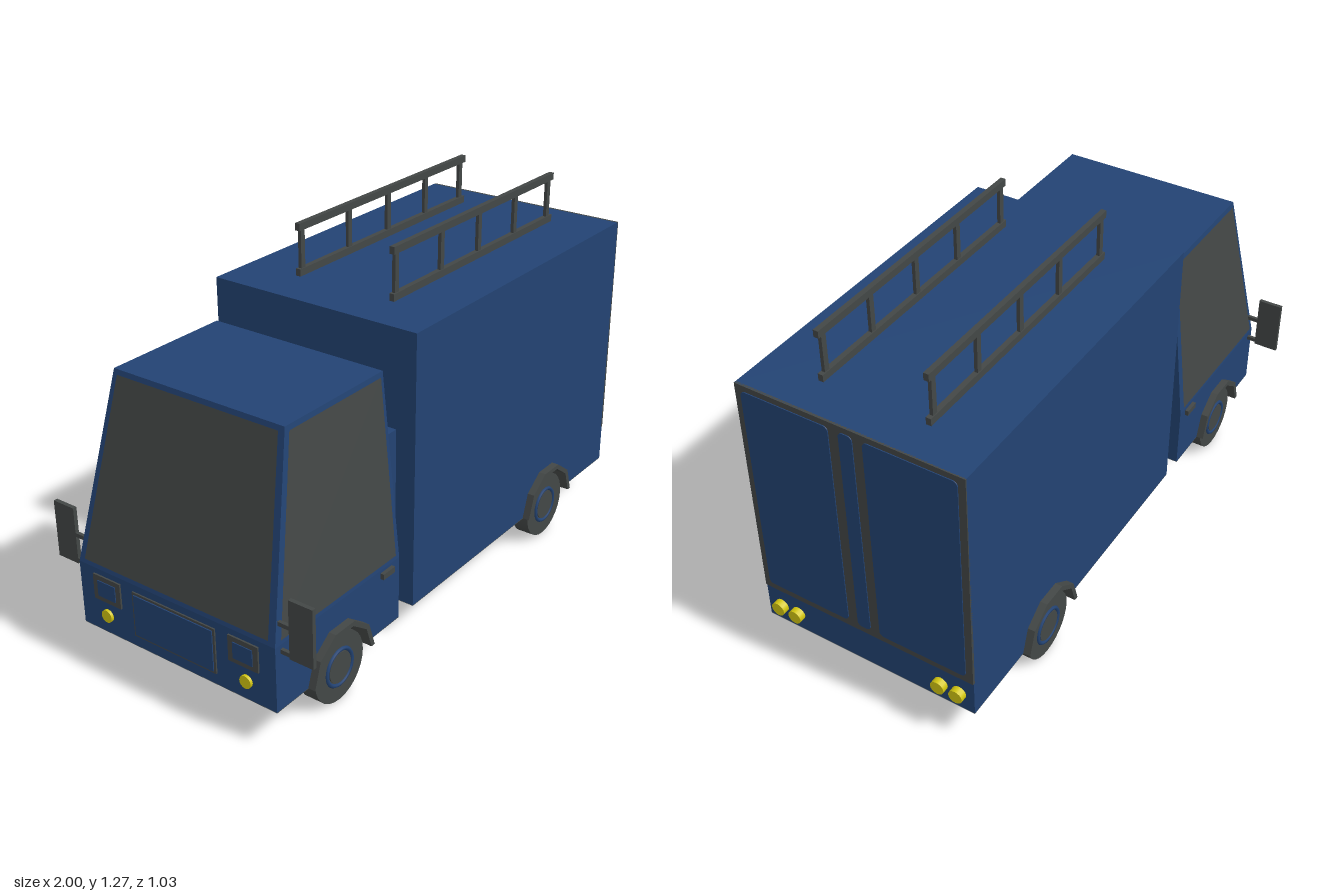
import * as THREE from 'three';

const blue = new THREE.MeshStandardMaterial({ color: 0x234373 });
blue.name = 'bodyBlue';
const grey = new THREE.MeshStandardMaterial({ color: 0x434746, side: THREE.DoubleSide });
grey.name = 'darkGrey';
const yellow = new THREE.MeshStandardMaterial({ color: 0xd2c510 });
yellow.name = 'lampYellow';

const HALF = 0.397, FLOOR = 0.13, BELT = 0.355;

export function createModel() {
  const root = new THREE.Group();
  root.name = 'van';
  root.position.z = 0.005;

  const add = (name, geo, mat) => {
    const m = new THREE.Mesh(geo, mat);
    m.name = name;
    root.add(m);
    return m;
  };
  // box given by its extents
  const box = (name, mat, x0, x1, y0, y1, z0, z1) =>
    add(name, new THREE.BoxGeometry(x1 - x0, y1 - y0, z1 - z0), mat)
      .position.set((x0 + x1) / 2, (y0 + y1) / 2, (z0 + z1) / 2);
  // five-sided half arch, from left to right
  const arch = (cx, r) => Array.from({ length: 6 }, (_, i) => {
    const a = Math.PI * (1 - i / 5);
    return new THREE.Vector2(cx + r * Math.cos(a), FLOOR + r * Math.sin(a));
  });

  // body block with a wheel tunnel, and a grey lining along its underside
  const body = (name, x0, x1, top, wheelX) => {
    const under = [new THREE.Vector2(x0, FLOOR), ...arch(wheelX, 0.135), new THREE.Vector2(x1, FLOOR)];
    const shape = new THREE.Shape([...under, new THREE.Vector2(x1, top), new THREE.Vector2(x0, top)]);
    const geo = new THREE.ExtrudeGeometry(shape, { depth: 2 * HALF, bevelEnabled: false });
    add(name, geo.translate(0, 0, -HALF), blue);
    const pos = [];
    for (let i = 0; i < under.length - 1; i++) {
      const a = under[i], b = under[i + 1], ya = a.y - 0.002, yb = b.y - 0.002;
      pos.push(a.x, ya, -HALF, b.x, yb, -HALF, b.x, yb, HALF, a.x, ya, -HALF, b.x, yb, HALF, a.x, ya, HALF);
    }
    const lining = new THREE.BufferGeometry();
    lining.setAttribute('position', new THREE.Float32BufferAttribute(pos, 3));
    lining.computeVertexNormals();
    add(name + 'Underside', lining, grey);
  };
  body('cargoBox', -0.3, 0.975, 1.09, 0.545);
  body('cabLower', -0.99, -0.38, BELT, -0.695);
  box('connector', blue, -0.385, -0.295, 0.17, 0.75, -0.325, 0.325);

  // tapered upper cab
  const upper = new THREE.BoxGeometry(1, 1, 1);
  const p = upper.attributes.position;
  for (let i = 0; i < p.count; i++) {
    const high = p.getY(i) > 0;
    p.setXYZ(i, p.getX(i) > 0 ? -0.38 : high ? -0.84 : -0.99, high ? 0.98 : BELT,
      Math.sign(p.getZ(i)) * (high ? 0.33 : HALF));
  }
  upper.computeVertexNormals();
  add('cabUpper', upper, blue);

  // flat pane inset in a four-cornered face (corners anticlockwise from outside)
  const pane = (name, corners, u, v) => {
    const [a, b, c, d] = corners.map(k => new THREE.Vector3(...k));
    const n = b.clone().sub(a).cross(d.clone().sub(a)).setLength(0.004);
    const at = (s, t) => a.clone().lerp(b, s).lerp(d.clone().lerp(c, s), t).add(n);
    const q = [at(u, v), at(1 - u, v), at(1 - u, 1 - v), at(u, 1 - v)];
    const geo = new THREE.BufferGeometry().setFromPoints(q);
    geo.setIndex([0, 1, 2, 0, 2, 3]);
    geo.computeVertexNormals();
    add(name, geo, grey);
  };
  pane('windshield', [[-0.99, BELT, -HALF], [-0.99, BELT, HALF], [-0.84, 0.98, 0.33], [-0.84, 0.98, -0.33]], 0.03, 0.025);
  for (const s of [1, -1]) {
    const side = [[-0.99, BELT, s * HALF], [-0.38, BELT, s * HALF], [-0.38, 0.98, s * 0.33], [-0.84, 0.98, s * 0.33]];
    pane('sideWindow', s > 0 ? side : side.reverse(), 0.035, 0.025);
  }

  // lamp facing along x
  const lamp = (name, x, y, z, r, depth) => {
    const m = add(name, new THREE.CylinderGeometry(r, r, depth, 16), yellow);
    m.rotation.z = Math.PI / 2;
    m.position.set(x, y, z);
  };

  // wheels and wheel arches
  for (const x of [-0.695, 0.545]) for (const s of [1, -1]) {
    const wheel = new THREE.Group();
    wheel.name = 'wheel';
    const part = (name, geo, mat, z) => {
      const m = new THREE.Mesh(geo, mat);
      m.name = name;
      m.position.z = z;
      wheel.add(m);
    };
    part('tire', new THREE.CylinderGeometry(0.12, 0.12, 0.062, 28).rotateX(Math.PI / 2), grey, 0);
    part('rimRing', new THREE.TorusGeometry(0.062, 0.007, 6, 28), blue, 0.031);
    part('hub', new THREE.CylinderGeometry(0.053, 0.053, 0.006, 24).rotateX(Math.PI / 2), grey, 0.032);
    wheel.position.set(x, 0.12, s * 0.368);
    if (s < 0) wheel.rotation.y = Math.PI;
    root.add(wheel);

    const ring = new THREE.Shape([...arch(x, 0.15), ...arch(x, 0.133).reverse()]);
    const fender = new THREE.ExtrudeGeometry(ring, { depth: 0.035, bevelEnabled: false });
    add('wheelArch', fender, grey).position.z = s > 0 ? 0.388 : -0.423;
  }

  // paired parts on both sides
  for (const s of [1, -1]) {
    const pair = (name, mat, x0, x1, y0, y1, z0, z1) =>
      box(name, mat, x0, x1, y0, y1, Math.min(s * z0, s * z1), Math.max(s * z0, s * z1));

    pair('doorHandle', grey, -0.48, -0.42, 0.325, 0.345, 0.39, 0.41);

    // mirror on two arms
    pair('mirror', grey, -0.967, -0.953, 0.32, 0.52, 0.43, 0.517);
    for (const y of [0.333, 0.425]) pair('mirrorArm', grey, -0.967, -0.955, y - 0.007, y + 0.007, 0.37, 0.435);

    // roof rail
    pair('lowerRail', grey, -0.135, 0.845, 1.09, 1.115, 0.178, 0.196);
    pair('upperRail', grey, -0.135, 0.845, 1.245, 1.27, 0.178, 0.196);
    for (const x of [-0.115, 0.14, 0.365, 0.595, 0.82])
      pair('railPost', grey, x - 0.01, x + 0.01, 1.11, 1.25, 0.181, 0.193);

    // front lamp frame with inner panel and round lamp below
    pair('lampFrame', grey, -0.996, -0.985, 0.245, 0.335, 0.22, 0.335);
    pair('lampPanel', blue, -0.999, -0.99, 0.262, 0.318, 0.24, 0.315);
    lamp('frontLamp', -0.993, 0.195, s * 0.285, 0.022, 0.014);

    // rear lamps
    for (const z of [0.275, 0.342]) lamp('rearLamp', 0.984, 0.195, s * z, 0.025, 0.03);
  }

  // front grille
  box('grilleFrame', grey, -0.995, -0.985, 0.17, 0.33, -0.168, 0.168);
  box('grillePanel', blue, -0.999, -0.99, 0.178, 0.322, -0.16, 0.16);

  // rear door frame with rounded panels
  box('rearFrame', grey, 0.97, 0.979, 0.265, 1.09, -HALF, HALF);
  const roundedPanel = (z0, z1) => {
    const y0 = 0.29, y1 = 1.07, r = 0.016, a = -z1, b = -z0;
    const s = new THREE.Shape();
    s.absarc(b - r, y1 - r, r, 0, Math.PI / 2);
    s.absarc(a + r, y1 - r, r, Math.PI / 2, Math.PI);
    s.absarc(a + r, y0 + r, r, Math.PI, Math.PI * 1.5);
    s.absarc(b - r, y0 + r, r, Math.PI * 1.5, Math.PI * 2);
    const geo = new THREE.ExtrudeGeometry(s, { depth: 0.005, bevelEnabled: false, curveSegments: 4 });
    add('rearPanel', geo.rotateY(Math.PI / 2), blue).position.x = 0.977;
  };
  roundedPanel(0.062, 0.375);
  roundedPanel(-0.022, 0.026);
  roundedPanel(-0.372, -0.057);

  return root;
}
